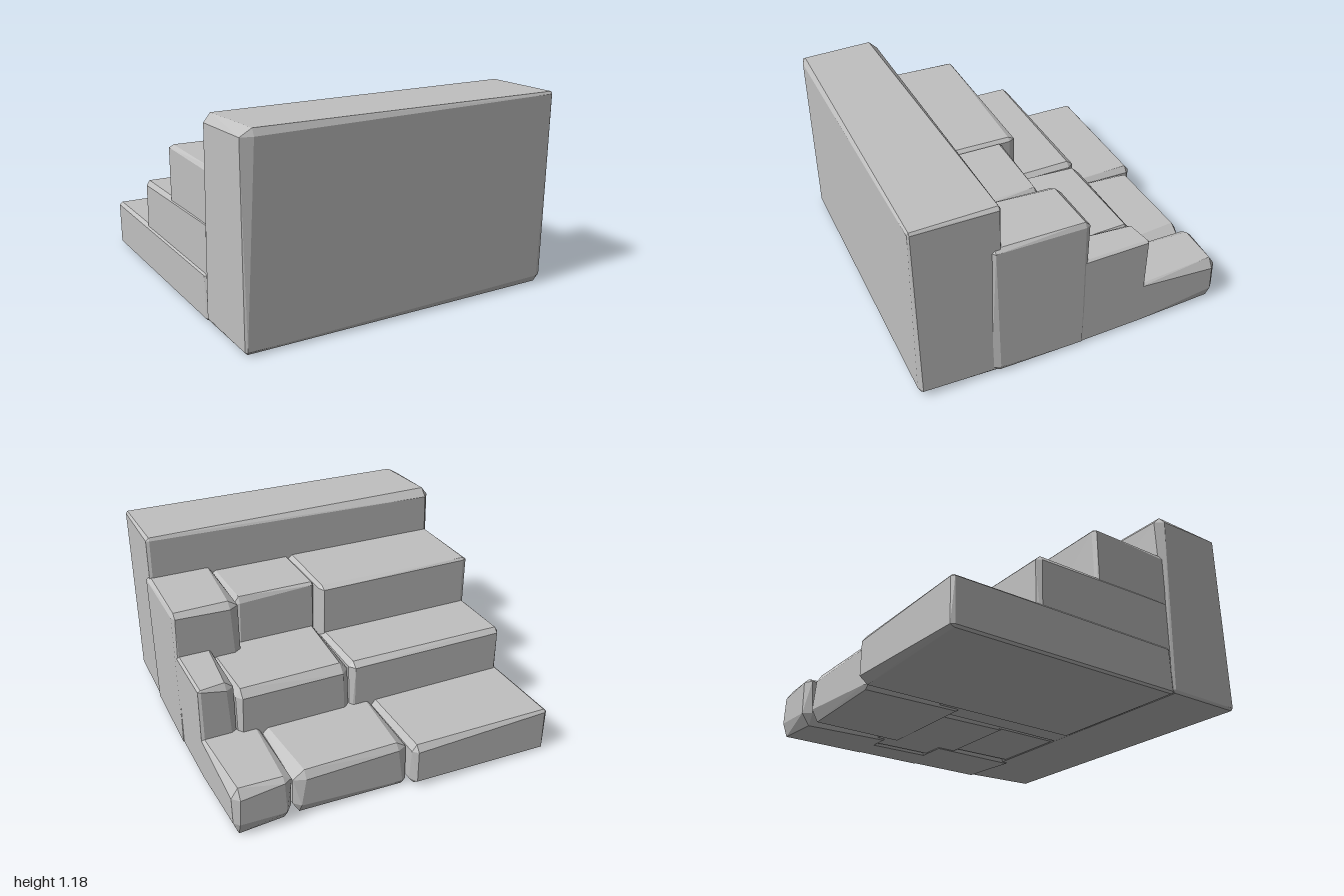
import * as THREE from 'three';
import { ConvexGeometry } from 'three/addons/geometries/ConvexGeometry.js';

// small seeded generator for the uneven chipping of the stone edges
function seeded(seed) {
  let s = seed;
  return () => (s = (s * 16807) % 2147483647) / 2147483647;
}

// Block with cut edges: every corner becomes three points, one on each face.
// chips: { 'sx,sy,sz': [bx, by, bz] } gives a corner its own larger cut.
function chippedBlock([x0, x1], [y0, y1], [z0, z1], bevel, rand, chips = {}) {
  const pts = [];
  for (const sx of [-1, 1]) for (const sy of [-1, 1]) for (const sz of [-1, 1]) {
    const x = sx < 0 ? x0 : x1, y = sy < 0 ? y0 : y1, z = sz < 0 ? z0 : z1;
    const cut = () => bevel * (0.6 + 0.8 * rand());
    const [bx, by, bz] = chips[`${sx},${sy},${sz}`] || [cut(), cut(), cut()];
    pts.push(
      new THREE.Vector3(x, y - sy * by, z - sz * bz),
      new THREE.Vector3(x - sx * bx, y, z - sz * bz),
      new THREE.Vector3(x - sx * bx, y - sy * by, z));
  }
  return new ConvexGeometry(pts);
}

export function createModel() {
  const group = new THREE.Group();
  const stone = new THREE.MeshStandardMaterial({ color: 0xc0c0c0, flatShading: true });
  stone.name = 'grey stone';
  const rand = seeded(4211);

  // name, x range, y range, z range, bevel, special corner chips
  const blocks = [
    // tall slab at the front
    ['topStep', [-1, 0.985], [0.01, 1.18], [0.49, 0.99], 0.014,
      { '-1,1,1': [0.07, 0.04, 0.02], '-1,1,-1': [0.04, 0.05, 0.05], '1,-1,1': [0.04, 0.04, 0.02] }],
    // second row down
    ['upperStepLong', [-0.985, 0.06], [0.015, 0.89], [-0.03, 0.52], 0.02,
      { '1,1,-1': [0.02, 0.02, 0.04] }],
    ['upperStepMiddle', [0.065, 0.585], [0.015, 0.885], [0.07, 0.52], 0.018,
      { '1,1,-1': [0.03, 0.04, 0.02] }],
    ['upperStepShort', [0.59, 1], [0.005, 0.915], [-0.03, 0.555], 0.022,
      { '-1,1,-1': [0.06, 0.04, 0.04], '1,1,-1': [0.015, 0.03, 0.03], '1,-1,1': [0.02, 0.04, 0.05] }],
    // third row down
    ['lowerStepLong', [-0.99, 0.06], [0.01, 0.575], [-0.455, 0.52], 0.018,
      { '-1,1,-1': [0.02, 0.03, 0.03], '1,1,-1': [0.03, 0.03, 0.04] }],
    ['lowerStepMiddle', [0.065, 0.775], [0.01, 0.58], [-0.455, 0.12], 0.022,
      { '-1,1,-1': [0.05, 0.05, 0.05], '1,1,-1': [0.03, 0.05, 0.04] }],
    ['lowerStepShort', [0.78, 0.995], [0.005, 0.635], [-0.43, 0.05], 0.015,
      { '-1,1,-1': [0.05, 0.04, 0.03] }],
    // bottom row
    ['bottomStepLong', [-1, -0.08], [0, 0.285], [-0.99, 0.5], 0.018,
      { '1,1,-1': [0.03, 0.04, 0.03], '1,-1,-1': [0.03, 0.04, 0.05] }],
    ['bottomStepMiddle', [-0.07, 0.635], [0, 0.29], [-0.93, -0.3], 0.022,
      { '-1,1,-1': [0.06, 0.04, 0.03], '1,1,-1': [0.07, 0.05, 0.03],
        '1,-1,-1': [0.04, 0.07, 0.04] }],
    ['bottomStepShort', [0.65, 0.995], [0.002, 0.305], [-0.95, -0.38], 0.015,
      { '-1,1,-1': [0.05, 0.03, 0.03], '1,1,-1': [0.04, 0.06, 0.04],
        '-1,-1,-1': [0.04, 0.07, 0.05], '1,-1,-1': [0.03, 0.08, 0.03] }],
  ];

  for (const [name, x, y, z, bevel, chips] of blocks) {
    const mesh = new THREE.Mesh(chippedBlock(x, y, z, bevel, rand, chips), stone);
    mesh.name = name;
    group.add(mesh);
  }
  return group;
}
